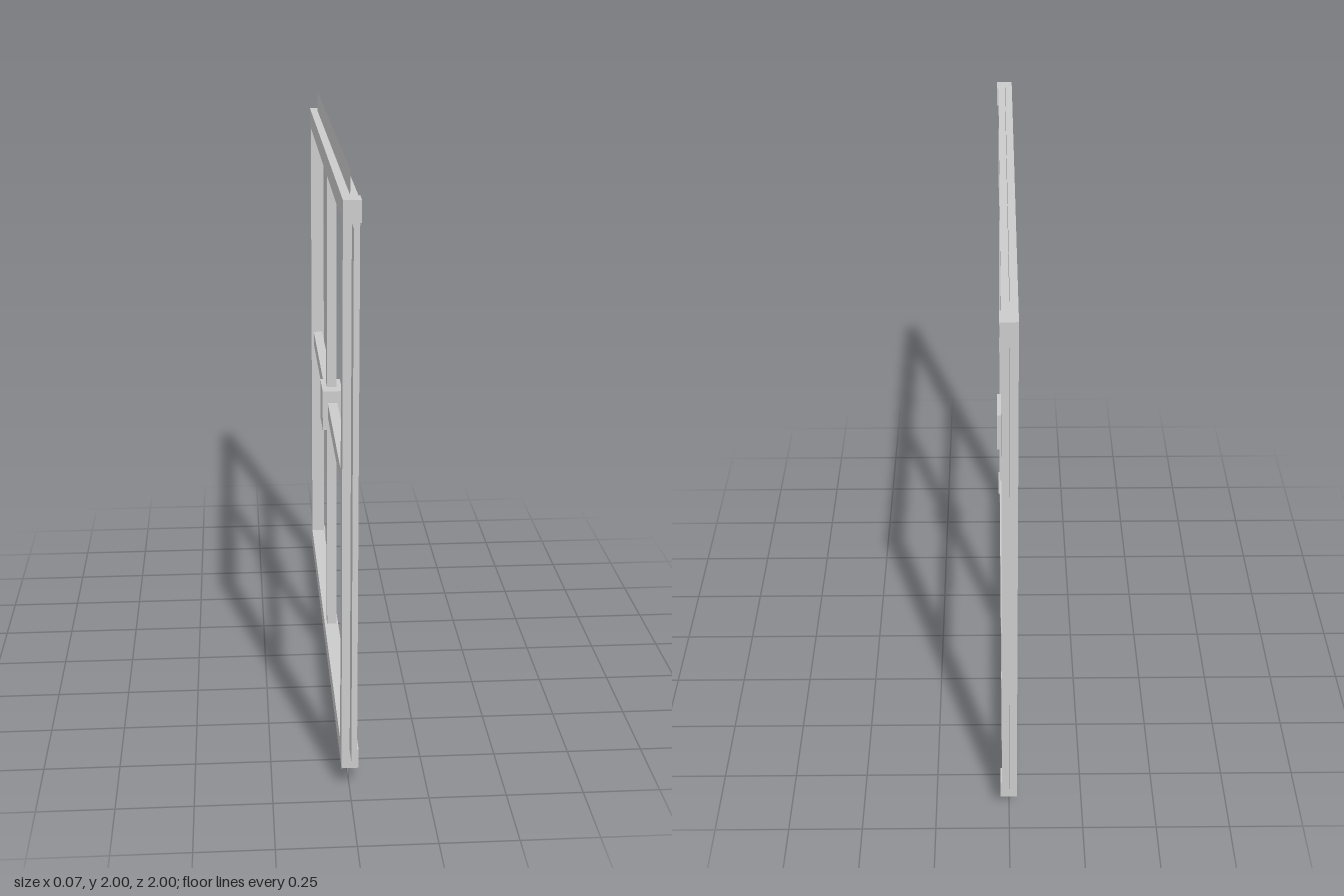
import * as THREE from 'three';

export function createModel() {
  const model = new THREE.Group();
  const grey = new THREE.MeshStandardMaterial({ color: 0xcccccc, flatShading: true });
  const sheet = new THREE.MeshStandardMaterial({ color: 0xcccccc, side: THREE.DoubleSide });

  const OUTER = 0.926, INNER = 0.859, HUB = 0.072;
  const MID = (OUTER + INNER) / 2, BAR = OUTER - INNER;

  const box = (name, parent, size, pos) => {
    const mesh = new THREE.Mesh(new THREE.BoxGeometry(...size), grey);
    mesh.name = name;
    mesh.position.set(...pos);
    parent.add(mesh);
  };

  // Each quarter is the top side of the window, turned about the x axis
  ['top', 'front', 'bottom', 'back'].forEach((side, i) => {
    const quarter = new THREE.Group();
    quarter.name = side + 'Side';
    quarter.position.y = 1;
    quarter.rotation.x = i * Math.PI / 2;
    model.add(quarter);

    box('frameBar', quarter, [0.05, BAR, 2 * INNER], [-0.001, MID, 0]);
    // slightly thicker corner joint
    box('cornerBlock', quarter, [0.055, BAR, BAR], [0.0015, MID, MID]);
    // glazing bar from hub to frame, a hair off centre
    box('glazingBar', quarter, [0.034, INNER - HUB, 0.053], [0, (INNER + HUB) / 2, -0.0025]);

    // paper-thin mounting flange on the outer edge
    const flange = new THREE.Mesh(new THREE.PlaneGeometry(2 * INNER, 1 - OUTER), sheet);
    flange.name = 'flange';
    flange.rotation.y = Math.PI / 2;
    flange.position.y = (1 + OUTER) / 2;
    quarter.add(flange);
  });

  // Block where the glazing bars meet
  box('hub', model, [0.07, 2 * HUB, 2 * HUB], [0, 1, 0]);

  return model;
}
